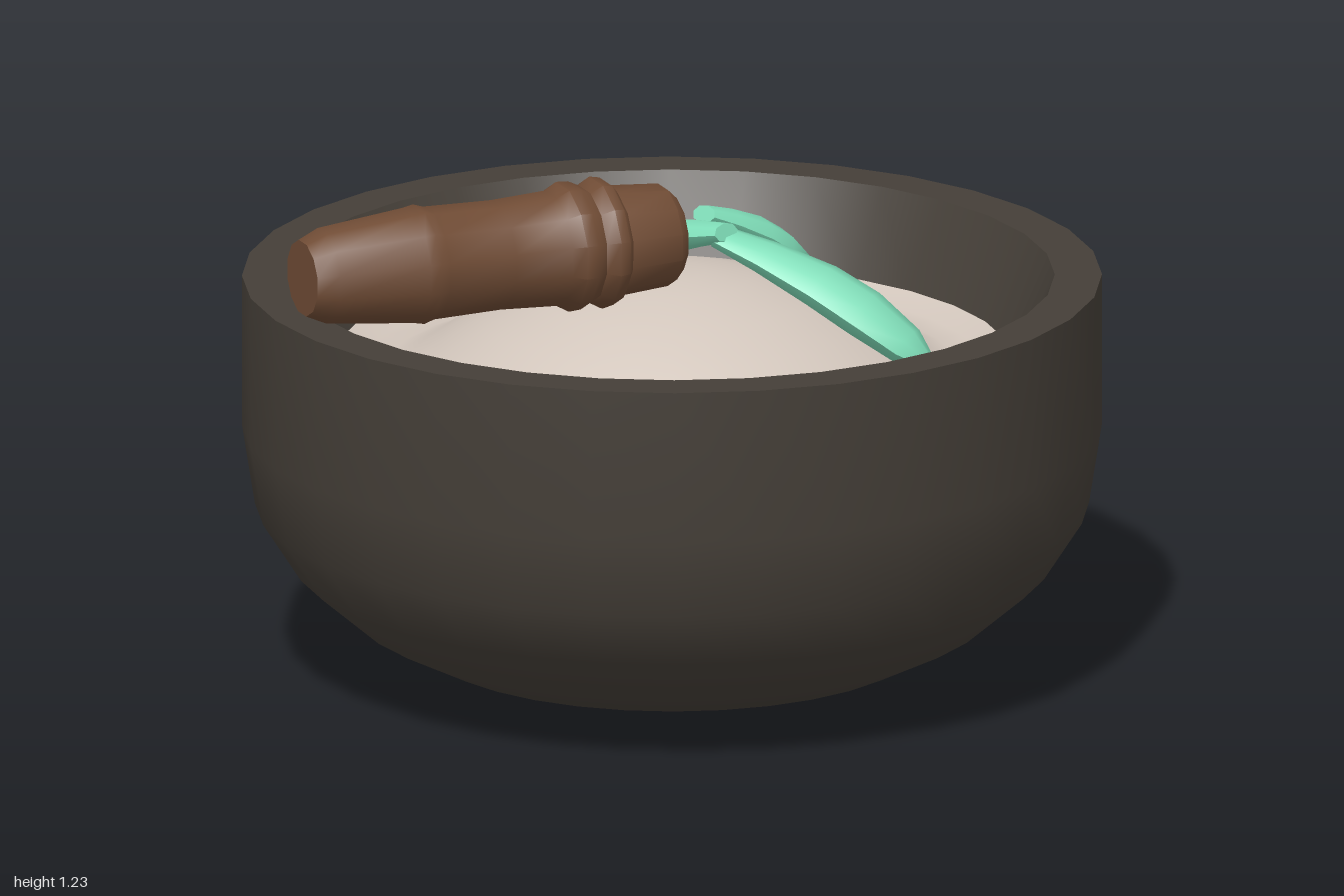
import * as THREE from 'three';
import { toCreasedNormals } from 'three/addons/utils/BufferGeometryUtils.js';

const mat = (name, color, side = THREE.FrontSide) => {
  const m = new THREE.MeshStandardMaterial({ color, side });
  m.name = name;
  return m;
};

// Revolved solid from [radius, height] pairs, sharp only at strong corners
const turned = (points, segments, crease) =>
  toCreasedNormals(new THREE.LatheGeometry(points.map(p => new THREE.Vector2(...p)), segments), crease);

export function createModel() {
  const model = new THREE.Group();
  model.name = 'dessertBowl';
  const ceramic = mat('dark ceramic', 0x453f38);
  const cream = mat('pale cream', 0xd2c6bc);
  const bark = mat('brown bark', 0x704c35);
  const mint = mat('mint green', 0x80deb9);

  const add = (name, geometry, material) => {
    const mesh = new THREE.Mesh(geometry, material);
    mesh.name = name;
    model.add(mesh);
    return mesh;
  };

  // Bowl: rounded outside, flat rim, inward sloping inner wall
  add('bowl', turned([
    [0, 0], [0.3, 0], [0.58, 0.07], [0.74, 0.15], [0.88, 0.27], [0.97, 0.41], [1, 0.6], [1, 0.96],
    [0.89, 0.96], [0.78, 0.74], [0.7, 0.6],
  ], 32, 0.7), ceramic);

  // Filling: low dome with a shallow moat against the wall
  add('filling', turned([
    [0.79, 0.76], [0.73, 0.735], [0.67, 0.73], [0.61, 0.75], [0.54, 0.8], [0.44, 0.86],
    [0.32, 0.915], [0.18, 0.955], [0.08, 0.97], [0, 0.972],
  ], 32, 1), cream);

  // Stick: ringed near the inner end, tapering past a ridge to the outer end
  const stick = add('stick', turned([
    [0, 0], [0.095, 0], [0.12, 0.025], [0.13, 0.155], [0.15, 0.17], [0.155, 0.195], [0.138, 0.225],
    [0.15, 0.25], [0.152, 0.28], [0.135, 0.31], [0.128, 0.45], [0.132, 0.62], [0.14, 0.645],
    [0.135, 0.67], [0.112, 0.89], [0.09, 0.94], [0, 0.94],
  ], 12, 0.75), bark);
  stick.position.set(0.03, 1.082, 0.07);
  stick.quaternion.setFromUnitVectors(new THREE.Vector3(0, 1, 0), new THREE.Vector3(-0.697, 0, 0.718).normalize());

  // Leaves: flattened spindles arching from a shared sprig down onto the filling
  const leafProfile = [[0, 0], [0.5, 0], [0.72, 0.2], [0.95, 0.45], [1, 0.65], [0.8, 0.86], [0.3, 0.98], [0, 1]];
  const leaf = (name, base, tip, halfWidth, thickness, bow) => {
    const from = new THREE.Vector3(...base), along = new THREE.Vector3(...tip).sub(from);
    const length = along.length();
    const g = turned(leafProfile, 8, 1);
    const pos = g.attributes.position;
    for (let i = 0; i < pos.count; i++) {
      const t = pos.getY(i);
      pos.setXYZ(i, pos.getX(i) * halfWidth, t * length,
        pos.getZ(i) * thickness + bow * Math.sin(Math.PI * t));
    }
    const y = along.normalize();
    const x = new THREE.Vector3().crossVectors(y, new THREE.Vector3(0, 1, 0)).normalize();
    const z = new THREE.Vector3().crossVectors(x, y);
    g.applyMatrix4(new THREE.Matrix4().makeBasis(x, y, z).setPosition(from));
    g.deleteAttribute('normal');
    add(name, toCreasedNormals(g, 0.9), mint);
  };
  leaf('rightLeaf', [0.11, 1.06, -0.02], [0.64, 0.79, -0.045], 0.095, 0.05, 0.03);
  leaf('backLeaf', [0.06, 1.1, -0.05], [0.2, 0.9, -0.33], 0.075, 0.045, 0.02);
  leaf('leftLeaf', [0.14, 1.08, 0.01], [-0.28, 0.92, -0.17], 0.075, 0.045, 0.02);

  return model;
}
